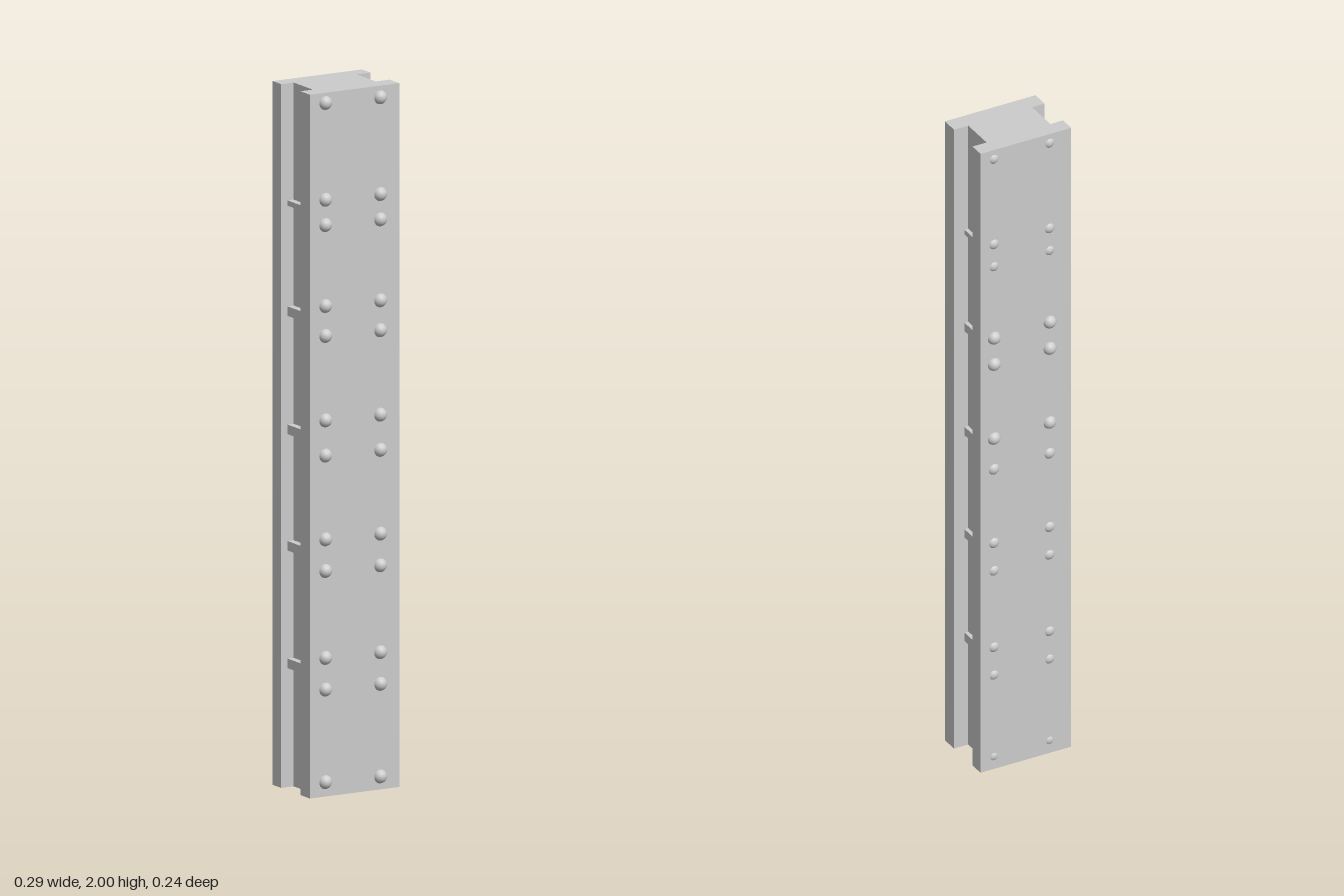
import * as THREE from 'three';

const material = new THREE.MeshStandardMaterial({ color: 0xcccccc });

export function createModel() {
  const group = new THREE.Group();
  const add = (geometry, name, x = 0, y = 0, z = 0) => {
    const mesh = new THREE.Mesh(geometry, material);
    mesh.name = name;
    mesh.position.set(x, y, z);
    group.add(mesh);
    return mesh;
  };

  // I-shaped column: two wide plates joined by a thick core (drawn as x, -z)
  const section = new THREE.Shape([
    [-0.145, -0.1], [0.143, -0.1], [0.143, -0.048], [0.098, -0.048],
    [0.098, 0.056], [0.143, 0.056], [0.143, 0.102], [-0.145, 0.102],
    [-0.145, 0.056], [-0.105, 0.056], [-0.105, -0.048], [-0.145, -0.048],
  ].map(([x, y]) => new THREE.Vector2(x, y)));
  const column = new THREE.ExtrudeGeometry(section, { depth: 2, bevelEnabled: false });
  column.rotateX(-Math.PI / 2);
  add(column, 'column');

  // Cross bars passing through the core, showing in both side channels
  for (const [y, height] of [[0.352, 0.027], [0.686, 0.027], [1.017, 0.027], [1.353, 0.027], [1.66, 0.015]]) {
    add(new THREE.BoxGeometry(0.235, height, 0.104), 'crossBar', -0.0075, y, -0.004);
  }

  // Round rivets: [height, how far the back rivet stands out]
  const rivet = new THREE.SphereGeometry(0.02, 20, 14);
  const rows = [
    [0.04, 0.004], [0.303, 0.006], [0.393, 0.007], [0.64, 0.007],
    [0.73, 0.008], [0.968, 0.009], [1.068, 0.015], [1.308, 0.017],
    [1.393, 0.017], [1.623, 0.006], [1.695, 0.007], [1.97, 0.006],
  ];
  for (const [y, proud] of rows) {
    add(rivet, 'frontRivet', -0.095, y + 0.001, 0.097);
    add(rivet, 'frontRivet', 0.082, y - 0.003, 0.097);
    for (const x of [-0.077, 0.1]) {
      add(rivet, 'backRivet', x, y, -0.102 - proud + 0.02);
    }
  }
  return group;
}
